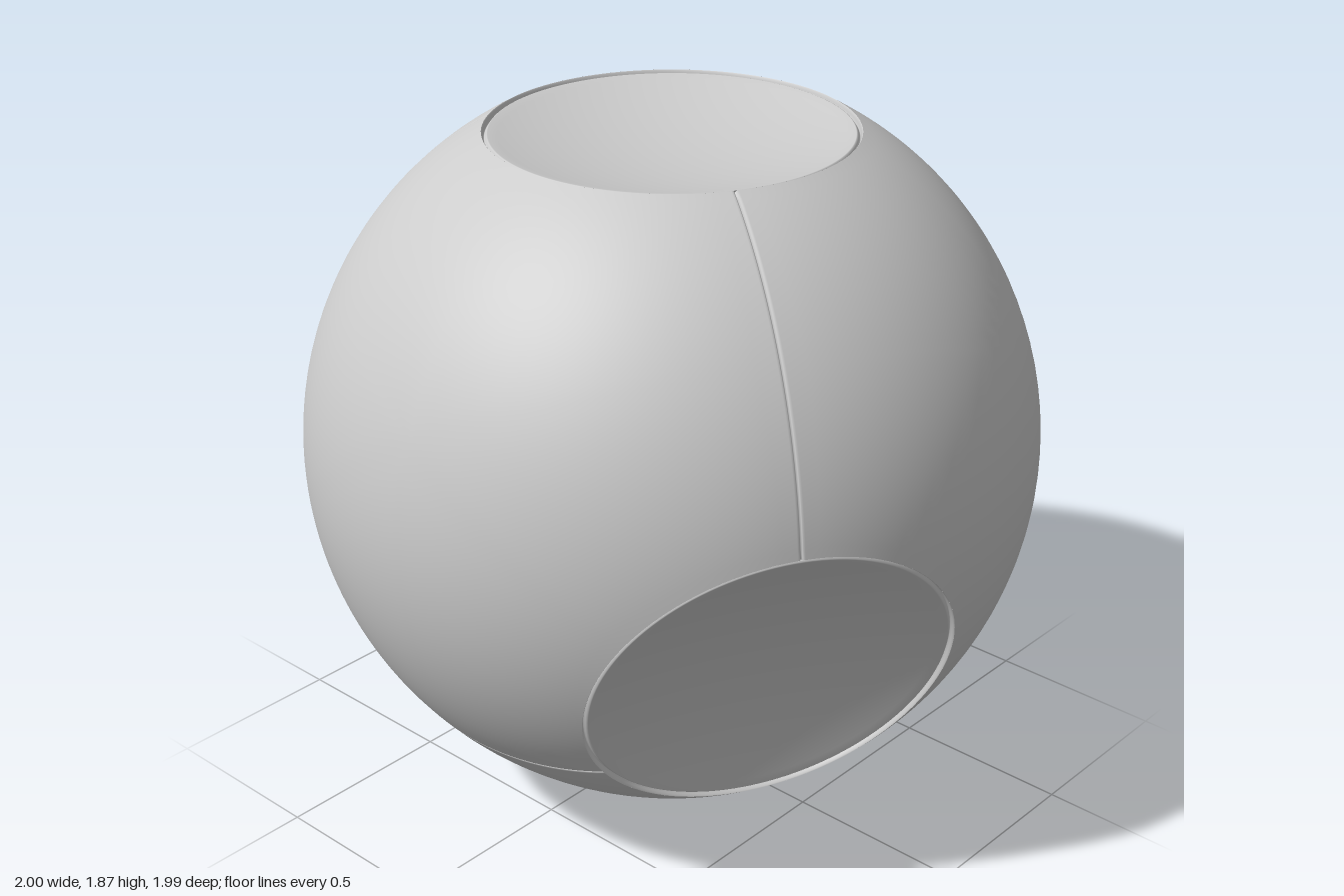
import * as THREE from 'three';
import { mergeVertices } from 'three/addons/utils/BufferGeometryUtils.js';

const RIM = THREE.MathUtils.degToRad(29.4);    // angular radius of each dish opening
const TILT = THREE.MathUtils.degToRad(22.1);   // how far the lower dishes point down
const DISH_RADIUS = 1.7;                       // radius of curvature of the dishes
const SEAM = [[0, 0.007], [0.003, 0.002], [0.005, 0], [0.01, 0]]; // [offset, depth] across a seam
const COLS = 16, ROWS = 18;

// Dish directions: one up, three around the lower half
const axes = [new THREE.Vector3(0, 1, 0)];
for (const deg of [30, 150, 270]) {
  const a = THREE.MathUtils.degToRad(deg), c = Math.cos(TILT);
  axes.push(new THREE.Vector3(Math.cos(a) * c, -Math.sin(TILT), Math.sin(a) * c));
}

// One patch of the shell, from the rim of dish a, between its seam towards b
// and the point equally far from a, b and c
function addPatch(a, b, c, positions, indices) {
  const base = positions.length / 3;
  const half = a.angleTo(b) / 2;
  const e1 = b.clone().addScaledVector(a, -a.dot(b)).normalize();
  const side = Math.sign(new THREE.Vector3().crossVectors(a, b).dot(c));
  const e2 = new THREE.Vector3().crossVectors(a, e1).multiplyScalar(side);
  const corner = new THREE.Vector3().crossVectors(b.clone().sub(a), c.clone().sub(a));
  if (corner.dot(a) < 0) corner.negate();
  const phiCorner = Math.atan2(corner.dot(e2), corner.dot(e1));
  const last = SEAM[SEAM.length - 1][0];
  const cols = SEAM.length + COLS;

  for (let j = 0; j <= ROWS; j++) {
    const t = j / ROWS;
    const s = 1 / Math.sin(THREE.MathUtils.lerp(RIM, half, t));
    for (let i = 0; i < cols; i++) {
      const [offset, depth] = SEAM[Math.min(i, SEAM.length - 1)];
      const u = Math.max(0, i - SEAM.length + 1) / COLS;
      const phiAt = (k) => offset * k + u * (phiCorner - last * k);
      const end = Math.atan(Math.tan(half) / Math.cos(phiAt(1 / Math.sin(half))));
      const theta = THREE.MathUtils.lerp(RIM, end, t), phi = phiAt(s);
      const p = a.clone().multiplyScalar(Math.cos(theta))
        .addScaledVector(e1, Math.sin(theta) * Math.cos(phi))
        .addScaledVector(e2, Math.sin(theta) * Math.sin(phi))
        .multiplyScalar(1 - depth);
      positions.push(p.x, p.y, p.z);
      if (i && j) {
        const n = base + j * cols + i;
        const q = [n - cols - 1, n - 1, n, n - cols];
        if (side < 0) q.reverse();
        indices.push(q[0], q[1], q[2], q[0], q[2], q[3]);
      }
    }
  }
}

function shellGeometry() {
  const positions = [], indices = [];
  for (const a of axes) for (const b of axes) for (const c of axes) {
    if (a !== b && b !== c && a !== c) addPatch(a, b, c, positions, indices);
  }
  const raw = new THREE.BufferGeometry();
  raw.setAttribute('position', new THREE.Float32BufferAttribute(positions, 3));
  raw.setIndex(indices);
  const geometry = mergeVertices(raw, 1e-5);
  geometry.computeVertexNormals();
  return geometry;
}

// Shallow concave dish with a rounded lip and a narrow groove around it
function dishGeometry() {
  const points = [];
  const edge = Math.sin(RIM), level = Math.cos(RIM);
  const inner = edge - 0.017, start = level - 0.005;
  const top = start + Math.sqrt(DISH_RADIUS ** 2 - inner ** 2);
  for (let i = 0; i <= 20; i++) {
    const r = inner * i / 20;
    points.push(new THREE.Vector2(r, top - Math.sqrt(DISH_RADIUS ** 2 - r * r)));
  }
  // [inset from the edge, drop below the edge]
  for (const [inset, drop] of [[0.014, 0.006], [0.011, 0.01], [0.008, 0.016], [0.006, 0.016], [0.004, 0.008], [0.002, 0.002], [0, 0]]) {
    points.push(new THREE.Vector2(edge - inset, level - drop));
  }
  return new THREE.LatheGeometry(points, 128);
}

export function createModel() {
  const model = new THREE.Group();
  const material = new THREE.MeshStandardMaterial({ color: 0xcccccc, side: THREE.DoubleSide });

  const body = new THREE.Group();
  body.name = 'ball';
  body.position.set(0, 1, -0.004);
  model.add(body);

  const shell = new THREE.Mesh(shellGeometry(), material);
  shell.name = 'shell';
  body.add(shell);

  const dish = dishGeometry();
  const names = ['topDish', 'leftDish', 'rightDish', 'backDish'];
  axes.forEach((axis, i) => {
    const mesh = new THREE.Mesh(dish, material);
    mesh.name = names[i];
    mesh.quaternion.setFromUnitVectors(new THREE.Vector3(0, 1, 0), axis);
    body.add(mesh);
  });
  return model;
}
